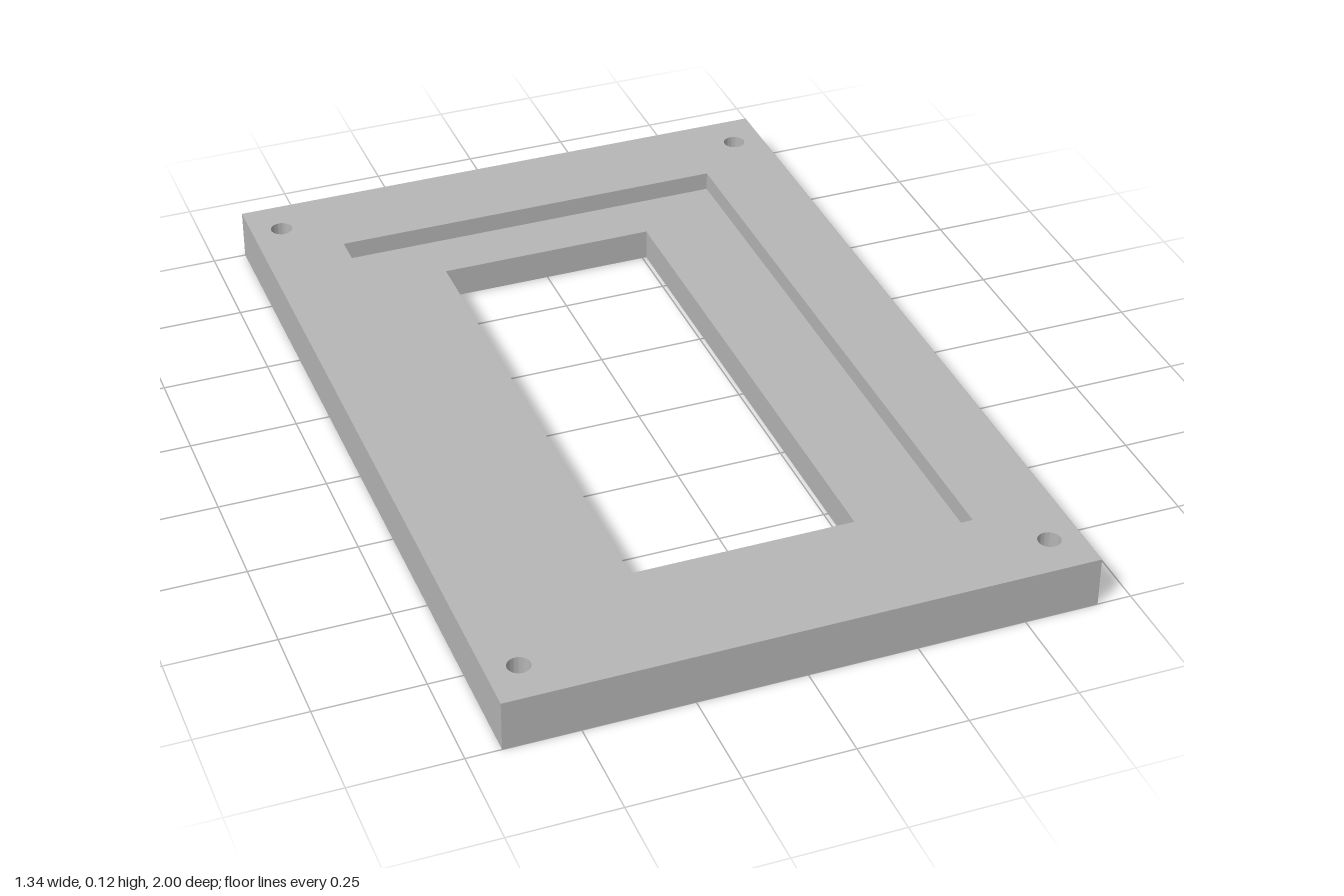
import * as THREE from 'three';
import { mergeGeometries, toCreasedNormals } from 'three/addons/utils/BufferGeometryUtils.js';

const HEIGHT = 0.12, LEDGE = 0.075;
const HOLE_X = 0.598, HOLE_Z = 0.898, HOLE_R = 0.026;

// Counter-clockwise outlines in plan
const rect = (w, d) => [[-w, -d], [w, -d], [w, d], [-w, d]].map(([x, y]) => new THREE.Vector2(x, y));
const circle = (cx, cy, r, n = 32) => Array.from({ length: n }, (_, i) => {
  const a = (i / n) * Math.PI * 2;
  return new THREE.Vector2(cx + r * Math.cos(a), cy + r * Math.sin(a));
});

// Horizontal face with openings, facing up or down
function cap(outline, openings, y, up = true) {
  const shape = new THREE.Shape(outline);
  shape.holes = openings.map((o) => new THREE.Path(o));
  const g = new THREE.ShapeGeometry(shape);
  g.rotateX(up ? -Math.PI / 2 : Math.PI / 2).translate(0, y, 0);
  return g;
}

// Vertical wall along an outline, facing outward or into an opening
function wall(outline, y0, y1, inward = false) {
  const pts = inward ? [...outline].reverse() : outline;
  const pos = [];
  pts.forEach((a, i) => {
    const b = pts[(i + 1) % pts.length];
    pos.push(a.x, y0, -a.y, b.x, y0, -b.y, b.x, y1, -b.y);
    pos.push(a.x, y0, -a.y, b.x, y1, -b.y, a.x, y1, -a.y);
  });
  const g = new THREE.BufferGeometry();
  g.setAttribute('position', new THREE.Float32BufferAttribute(pos, 3));
  g.computeVertexNormals();
  return toCreasedNormals(g, 0.6);
}

export function createModel() {
  const group = new THREE.Group();
  group.name = 'mountingFrame';
  const grey = new THREE.MeshStandardMaterial({ color: 0xb6b6b6 });
  grey.name = 'grey';

  const add = (name, ...parts) => {
    const clean = parts.map((p) => {
      const g = p.index ? p.toNonIndexed() : p;
      g.deleteAttribute('uv');
      return g;
    });
    const mesh = new THREE.Mesh(mergeGeometries(clean), grey);
    mesh.name = name;
    group.add(mesh);
  };

  const outer = rect(0.671, 1);
  const recess = rect(0.475, 0.777);
  const opening = rect(0.26, 0.639);
  const holes = [];
  for (const sx of [-1, 1]) for (const sz of [-1, 1]) holes.push(circle(sx * HOLE_X, sz * HOLE_Z, HOLE_R));

  // Plate body: rim top, underside and outer sides
  add('plateBody',
    cap(outer, [recess, ...holes], HEIGHT),
    cap(outer, [opening, ...holes], 0, false),
    wall(outer, 0, HEIGHT));

  // Stepped recess around the window
  add('recessLedge', cap(recess, [opening], LEDGE), wall(recess, LEDGE, HEIGHT, true));
  add('windowOpening', wall(opening, 0, LEDGE, true));

  // Corner screw holes
  holes.forEach((h, i) => add(`screwHole${i + 1}`, wall(h, 0, HEIGHT, true)));
  return group;
}
